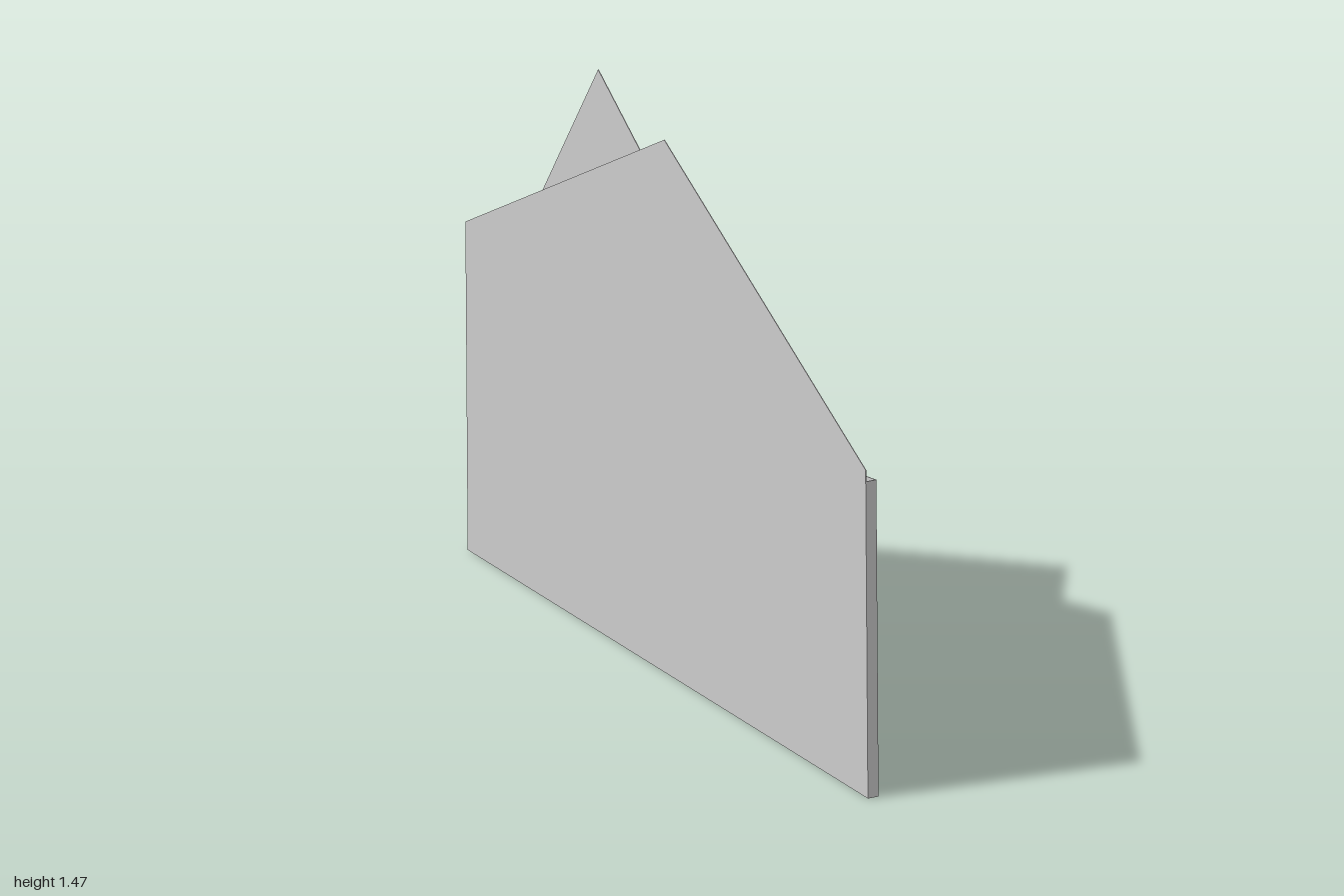
import * as THREE from 'three';

const LEAN = -0.0075; // the whole envelope tilts slightly back
const PAPER = 0.002;

export function createModel() {
  const group = new THREE.Group();
  const material = new THREE.MeshStandardMaterial({
    color: 0xcccccc, flatShading: true, side: THREE.DoubleSide,
  });

  // Shear a geometry backwards in proportion to its height
  function add(name, geometry) {
    const p = geometry.attributes.position;
    for (let i = 0; i < p.count; i++) p.setX(i, p.getX(i) + LEAN * p.getY(i));
    geometry.computeVertexNormals();
    const mesh = new THREE.Mesh(geometry, material);
    mesh.name = name;
    group.add(mesh);
  }

  // Thin paper sheet from (z, y) corners, with its outer +x face at x
  function sheet(name, corners, x) {
    const shape = new THREE.Shape(corners.map(([z, y]) => new THREE.Vector2(z, y)));
    const geometry = new THREE.ExtrudeGeometry(shape, { depth: PAPER, bevelEnabled: false });
    add(name, geometry.rotateY(-Math.PI / 2).translate(x, 0, 0));
  }

  // Back panel with the raised pointed flap
  sheet('backPanelAndFlap', [[-1, 0], [1, 0], [1, 0.86], [0, 1.4], [-1, 0.86]], -0.008);

  // Front pocket with its shallow V opening
  sheet('frontPocket', [[-1, 0], [1, 0], [1, 0.83], [0, 0.695], [-1, 0.83]], 0.02);

  // Narrow sides and bottom fold
  for (const side of [-1, 1]) {
    const wall = new THREE.BoxGeometry(0.03, 0.83, PAPER);
    add(side > 0 ? 'frontSideFold' : 'backSideFold',
      wall.translate(0.005, 0.415, side * (1 - PAPER / 2)));
  }
  add('bottomFold', new THREE.BoxGeometry(0.03, PAPER, 2).translate(0.005, PAPER / 2, 0));

  // Rectangular letter, turned so one corner points up out of the pocket
  const length = 1.175, width = 0.86;
  const along = new THREE.Vector2(0.965, -0.67).normalize();
  const across = new THREE.Vector2(along.y, -along.x);
  const corner = (a, b) => [-0.345 + along.x * a + across.x * b, 1.47 + along.y * a + across.y * b];
  sheet('letter', [corner(0, 0), corner(0, width), corner(length, width), corner(length, 0)], 0.001);

  return group;
}
